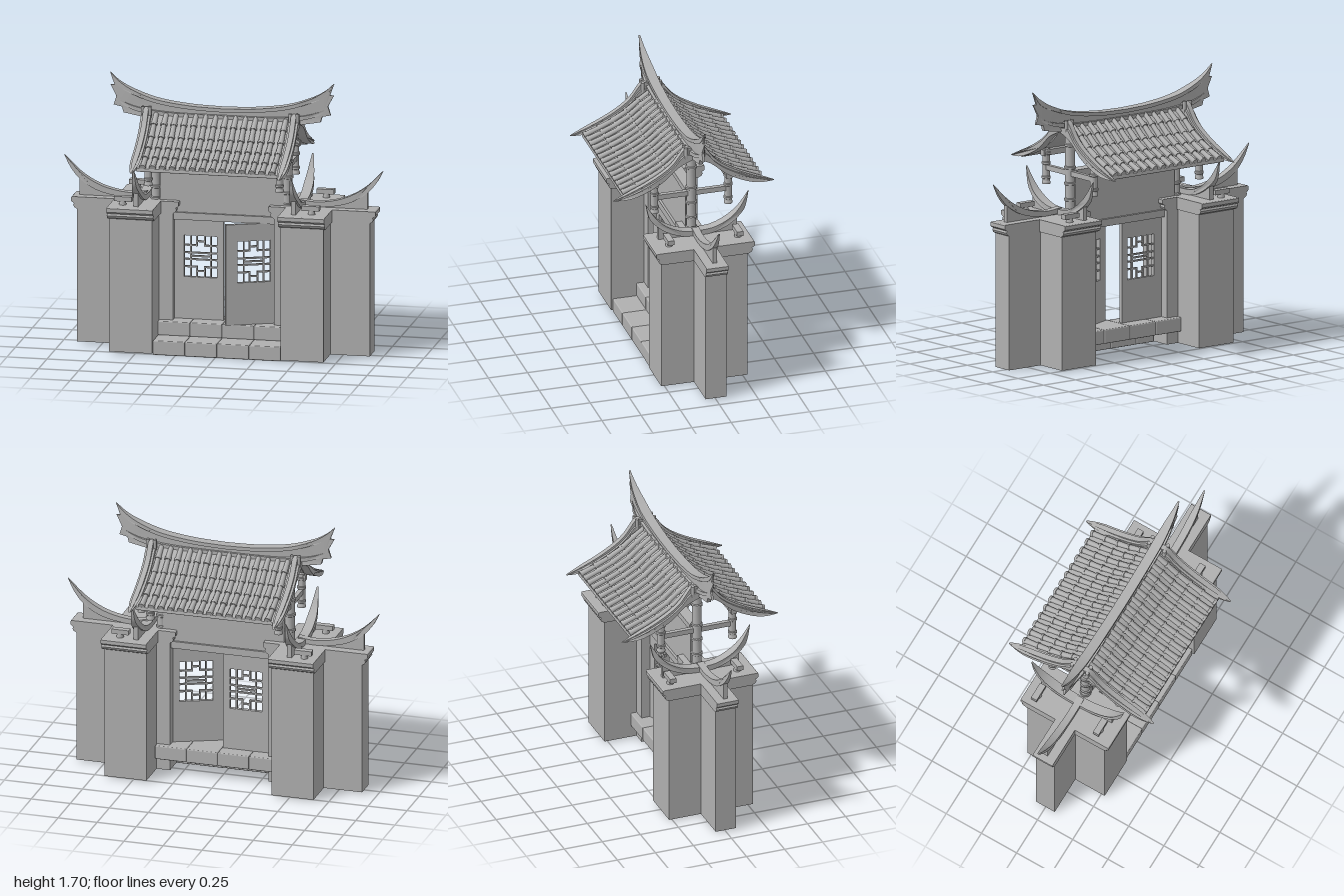
import * as THREE from 'three';
import { mergeGeometries, toCreasedNormals } from 'three/addons/utils/BufferGeometryUtils.js';
import { RoundedBoxGeometry } from 'three/addons/geometries/RoundedBoxGeometry.js';

const stone = new THREE.MeshStandardMaterial({ color: 0xb0b0b0 });
stone.name = 'grey stone';

const v2 = (pts) => pts.map(([x, y]) => new THREE.Vector2(x, y));

export function createModel() {
  const root = new THREE.Group();
  const POST = 0.01, ROOF = -0.013; // x centres of the posts and of the roof

  function add(name, geo, x = 0, y = 0, z = 0, parent = root) {
    const m = new THREE.Mesh(geo, stone);
    m.name = name;
    m.position.set(x, y, z);
    parent.add(m);
    return m;
  }
  // box given by its limits
  const box = (name, x0, x1, y0, y1, z0, z1, parent) =>
    add(name, new THREE.BoxGeometry(x1 - x0, y1 - y0, z1 - z0),
      (x0 + x1) / 2, (y0 + y1) / 2, (z0 + z1) / 2, parent);

  // upright plate from a smooth upper edge and a lower edge, thinning towards its tip, turned about y
  function plate(upper, lower, thick, angle, taperFrom = 9, smoothLower = true) {
    const s = new THREE.Shape();
    s.moveTo(...upper[0]);
    s.splineThru(v2(upper.slice(1)));
    if (smoothLower) s.splineThru(v2(lower));
    else lower.forEach((p) => s.lineTo(...p));
    const geo = new THREE.ExtrudeGeometry(s, { depth: thick, bevelEnabled: false, curveSegments: 18 });
    geo.translate(0, 0, -thick / 2);
    const tip = upper[upper.length - 1][0], p = geo.attributes.position;
    for (let i = 0; i < p.count; i++) {
      const k = Math.max(0, (p.getX(i) - taperFrom) / (tip - taperFrom));
      if (taperFrom < tip) p.setZ(i, p.getZ(i) * (1 - 0.85 * k * k));
    }
    geo.rotateY(angle);
    return toCreasedNormals(geo, 0.5);
  }

  // moulded cap: profile across its length, extruded over its width
  function cap(halfLen, halfWid) {
    const prof = [[-0.04, 0.845], [-0.02, 0.855], [-0.012, 0.87], [-0.018, 0.882], [-0.006, 0.888],
      [0, 0.895], [0, 0.918], [-0.006, 0.922]];
    const right = prof.map(([x, y]) => [halfLen + x, y]);
    const left = right.map(([x, y]) => [-x, y]).reverse();
    const geo = new THREE.ExtrudeGeometry(new THREE.Shape(v2([...right, ...left])),
      { depth: 2 * halfWid, bevelEnabled: false });
    return geo.translate(0, 0, -halfWid);
  }

  // Gate posts with cross-shaped plan, caps and upturned crests
  for (const s of [-1, 1]) {
    const g = new THREE.Group();
    g.name = s > 0 ? 'leftPost' : 'rightPost';
    root.add(g);
    const cx = POST + s * 0.615, bx = POST + s * 0.535;
    box('postWall', cx - 0.3, cx + 0.3, 0.01, 0.86, -0.066, 0.066, g);
    box('postBlock', bx - 0.134, bx + 0.134, 0.01, 0.86, -0.275, 0.275, g);
    add('wallCap', cap(0.335, 0.07), cx, 0, 0, g);
    add('blockCap', cap(0.313, 0.145).rotateY(Math.PI / 2), bx, 0, -0.005, g);

    // crest running outwards
    const turn = s > 0 ? 0 : Math.PI;
    const top = [[0.48, 0.965], [0.6, 0.955], [0.75, 0.985], [0.88, 1.055], [0.998, 1.17]];
    const low = [[0.955, 1.09], [0.89, 1.018], [0.78, 0.955], [0.63, 0.925], [0.48, 0.93]];
    add('outerCrest', plate(top, low, 0.045, turn, 0.8), 0, 0, 0, g);
    add('outerCrestWall', plate([[0.48, 0.95], [0.6, 0.94], [0.75, 0.965], [0.9, 1.04]],
      [[0.9, 0.915], [0.48, 0.915]], 0.026, turn, 9, false), 0, 0, 0, g);

    // crest running front to back
    for (const f of [-1, 1]) {
      const a = -f * Math.PI / 2, x = s * 0.492 - 0.008;
      add('crossCrest', plate([[0, 0.955], [0.1, 0.965], [0.2, 1.01], [0.27, 1.075], [0.328, 1.17]],
        [[0.305, 1.07], [0.26, 1.015], [0.19, 0.965], [0.1, 0.93], [0, 0.922]], 0.06, a, 0.18), x, 0, -0.01, g);
      add('crossCrestWall', plate([[0, 0.945], [0.1, 0.955], [0.18, 0.985], [0.25, 1.05]],
        [[0.25, 0.915], [0, 0.915]], 0.03, a, 9, false), x, 0, -0.01, g);
      // small bracket beside the crest
      const z = f * 0.22 - 0.02, x0 = s * 0.585;
      box('bracket', x0 - 0.055, x0 + 0.055, 0.945, 0.975, z - 0.02, z + 0.02, g);
      add('bracketFoot', new THREE.CylinderGeometry(0.018, 0.024, 0.04, 12), s * 0.59, 0.935, z, g);
    }
  }

  // Wall over the door and lintel
  box('upperWall', -0.395, 0.38, 0.845, 1.15, -0.03, 0.03);
  box('headBeam', -0.395, 0.38, 1.15, 1.185, -0.035, 0.035);
  box('lintel', -0.31, 0.335, 0.805, 0.85, -0.045, 0.045);

  // Steps made of stone blocks
  for (let i = 0; i < 4; i++) {
    const w = 0.8 / 4, x = -0.39 + w * (i + 0.5);
    add('upperStep', new RoundedBoxGeometry(w, 0.088, 0.22, 2, 0.007), x, 0.132, 0.005);
    add('lowerStep', new RoundedBoxGeometry(w, 0.09, 0.18, 2, 0.007), x, 0.045, 0.175);
  }

  // Door leaf with lattice window; hinge at x = 0, leaf extends towards -x * dir
  function door(name, dir, hingeX, angle, width) {
    const g = new THREE.Group();
    g.name = name;
    g.position.set(hingeX, 0, 0);
    g.rotation.y = angle;
    root.add(g);
    const x0 = dir > 0 ? 0 : -width;
    const s = new THREE.Shape(v2([[x0, 0.175], [x0 + width, 0.175], [x0 + width, 0.808], [x0, 0.808]]));
    const W = 0.205, H = 0.26, l = dir > 0 ? 0.06 : -0.06 + 0.02 - W, b = 0.44;
    s.holes.push(new THREE.Path(v2([[l, b], [l, b + H], [l + W, b + H], [l + W, b]])));
    add('leaf', new THREE.ExtrudeGeometry(s, { depth: 0.026, bevelEnabled: false }), 0, 0, -0.013, g);
    // lattice bars as fractions of the window: u0, u1, v0, v1
    const t = 0.018;
    const bars = [];
    const across = (v, u0, u1) => bars.push([u0, u1, v - t, v + t]);
    const upright = (u, w0, w1) => bars.push([u - t * 1.2, u + t * 1.2, w0, w1]);
    for (const v of [0.42, 0.58]) across(v, 0, 1);
    for (const v of [0.24, 0.76]) { across(v, 0, 0.4); across(v, 0.6, 1); }
    across(0.5, 0.2, 0.8);
    for (const u of [0.2, 0.8]) upright(u, 0, 1);
    for (const u of [0.38, 0.62]) { upright(u, 0, 0.26); upright(u, 0.74, 1); }
    across(0.14, 0.38, 0.62);
    across(0.86, 0.38, 0.62);
    for (const [u0, u1, w0, w1] of bars)
      box('latticeBar', l + u0 * W, l + u1 * W, b + w0 * H, b + w1 * H, -0.008, 0.008, g);
  }
  door('rightDoor', 1, -0.306, 0, 0.307);
  door('leftDoor', -1, 0.328, 0.4, 0.318);

  // Columns with rings, cross beams and purlins
  function column(name, r, y0, y1, rings, x, z) {
    const pts = [[0, y0], [r * 1.15, y0], [r * 1.15, y0 + 0.012], [r, y0 + 0.018]];
    for (const y of rings) pts.push([r, y - 0.01], [r * 1.22, y - 0.006], [r * 1.22, y + 0.006], [r, y + 0.01]);
    pts.push([r, y1], [0, y1]);
    add(name, toCreasedNormals(new THREE.LatheGeometry(v2(pts), 16), 0.6), x, 0, z);
  }
  for (const s of [-1, 1]) {
    const x = ROOF + s * 0.41;
    column('mainColumn', 0.03, 0.92, 1.45, [1.0, 1.1, 1.2, 1.34], x, 0);
    for (const f of [-1, 1]) column('hangingColumn', 0.023, 1.06, 1.28, [1.1, 1.19, 1.25], x, f * 0.235);
    box('crossBeam', x - 0.014, x + 0.014, 1.148, 1.18, -0.24, 0.24);
  }
  for (const [z, y] of [[-0.235, 1.255], [0, 1.42], [0.235, 1.255]])
    box('purlin', ROOF - 0.44, ROOF + 0.44, y - 0.018, y + 0.018, z - 0.018, z + 0.018);

  // Roof slopes with rows of roll tiles
  const slope = new THREE.SplineCurve(v2([[0.02, 1.455], [0.07, 1.425], [0.15, 1.355], [0.25, 1.295],
    [0.35, 1.25], [0.44, 1.215]]));
  const tile = [];
  const SEG = 5, up = new THREE.Vector3(0, 1, 0);
  for (let j = 0; j < SEG; j++) {
    const a = slope.getPointAt(j / SEG), b = slope.getPointAt((j + 1) / SEG);
    const d = new THREE.Vector3(0, a.y - b.y, a.x - b.x), len = d.length();
    const q = new THREE.Quaternion().setFromUnitVectors(up, d.normalize());
    const place = (r0, r1, h, t) => tile.push(new THREE.CylinderGeometry(r0, r1, h, 10).applyQuaternion(q)
      .translate(0, a.y + (b.y - a.y) * t + 0.006, a.x + (b.x - a.x) * t));
    place(0.015, 0.018, len * 1.04, 0.5);
    place(0.021, 0.021, 0.016, 0.93);
  }
  const row = mergeGeometries(tile);
  const mid = slope.getSpacedPoints(14);
  for (const f of [-1, 1]) {
    const a = -f * Math.PI / 2;
    add('roofSlab', plate(mid.map((p) => [p.x, p.y]),
      mid.map((p) => [p.x, p.y - 0.02]).reverse(), 0.88, a), ROOF);
    for (let i = 0; i < 14; i++)
      add('rollTiles', row, ROOF + (i - 6.5) * 0.0622).rotation.y = f > 0 ? 0 : Math.PI;
    // gable ridges with pointed ends
    for (const s of [-1, 1]) {
      const x = ROOF + s * 0.461;
      add('gableRidge', plate([[0, 1.455], [0.07, 1.455], [0.13, 1.39], [0.2, 1.335], [0.3, 1.28], [0.4, 1.238], [0.513, 1.2]],
        [[0.4, 1.212], [0.3, 1.245], [0.2, 1.3], [0.1, 1.385], [0, 1.43]], 0.06, a, 0.36), x);
      add('gableRoll', plate([[0, 1.48], [0.04, 1.505], [0.07, 1.49], [0.13, 1.41], [0.2, 1.352], [0.3, 1.295], [0.4, 1.25], [0.513, 1.202]],
        [[0.4, 1.23], [0.3, 1.27], [0.2, 1.325], [0.1, 1.41], [0, 1.44]], 0.032, a, 0.36), x);
      for (const o of [-0.022, 0.022])
        add('ridgeKnob', new THREE.CylinderGeometry(0.012, 0.012, 0.07, 10), x + o, 1.475, f * 0.055);
    }
  }

  // Main ridge with swallow-tail ends
  for (const a of [0, Math.PI]) {
    const top = [[0, 1.51], [0.2, 1.518], [0.4, 1.545], [0.55, 1.595], [0.64, 1.645], [0.7, 1.7]];
    add('mainRidge', plate(top, [[0.672, 1.625], [0.698, 1.625], [0.66, 1.555], [0.678, 1.5], [0.625, 1.49],
      [0.615, 1.455], [0.5, 1.435], [0, 1.445]], 0.036, a, 0.5, false), -0.01);
    add('ridgeTopBand', plate(top.map(([x, y]) => [x, y + 0.003]),
      [[0.645, 1.62], [0.55, 1.572], [0.4, 1.525], [0.2, 1.498], [0, 1.49]], 0.062, a, 0.42), -0.01);
    add('ridgeFootBand', plate([[0, 1.47], [0.3, 1.472], [0.5, 1.49], [0.62, 1.525], [0.665, 1.555]],
      [[0.62, 1.505], [0.5, 1.465], [0.3, 1.45], [0, 1.448]], 0.066, a, 0.42), -0.01);
  }
  return root;
}
